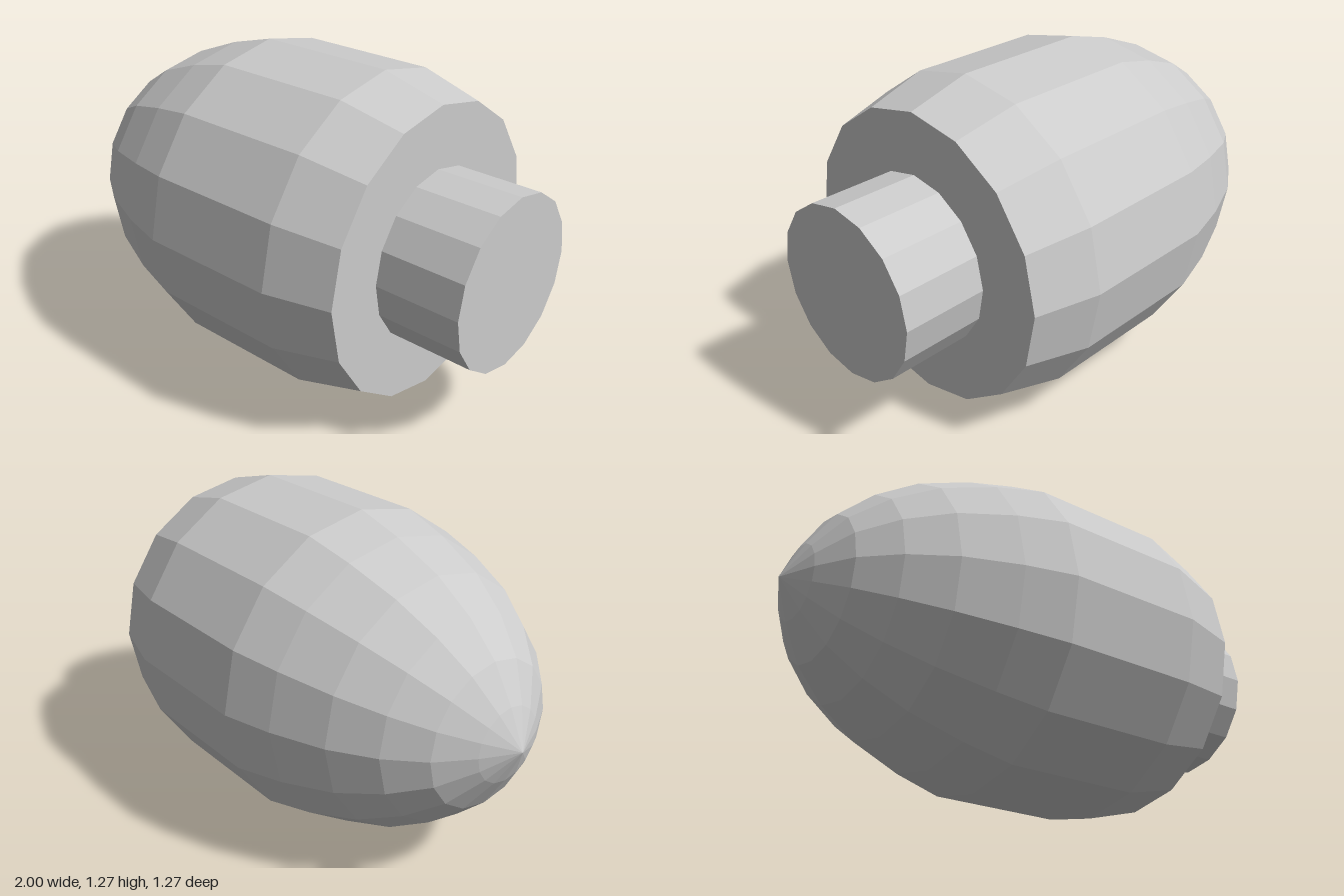
import * as THREE from 'three';

const SIDES = 16;
const AXIS_HEIGHT = 0.638;

// Faceted solid of revolution lying along x, from [x, radius] pairs
function turned(name, profile, material) {
  const points = profile.map(([x, r]) => new THREE.Vector2(r, x));
  const geometry = new THREE.LatheGeometry(points, SIDES);
  geometry.rotateZ(-Math.PI / 2);
  const mesh = new THREE.Mesh(geometry, material);
  mesh.name = name;
  mesh.position.y = AXIS_HEIGHT;
  return mesh;
}

export function createModel() {
  const group = new THREE.Group();
  group.name = 'bulletShape';
  const material = new THREE.MeshStandardMaterial({ color: 0xcccccc, flatShading: true });

  // Pointed, rounded nose running into a straight barrel with a tapered rear
  const body = turned('body', [
    [-1, 0], [-0.933, 0.145], [-0.848, 0.283], [-0.725, 0.4], [-0.564, 0.502],
    [-0.355, 0.583], [-0.16, 0.635], [0.41, 0.635], [0.663, 0.567], [0.663, 0],
  ], material);

  // Cylindrical stub on the flat rear face
  const stub = turned('rearStub', [[0.663, 0.33], [1, 0.33], [1, 0]], material);
  stub.position.z = 0.006;

  group.add(body, stub);
  return group;
}
